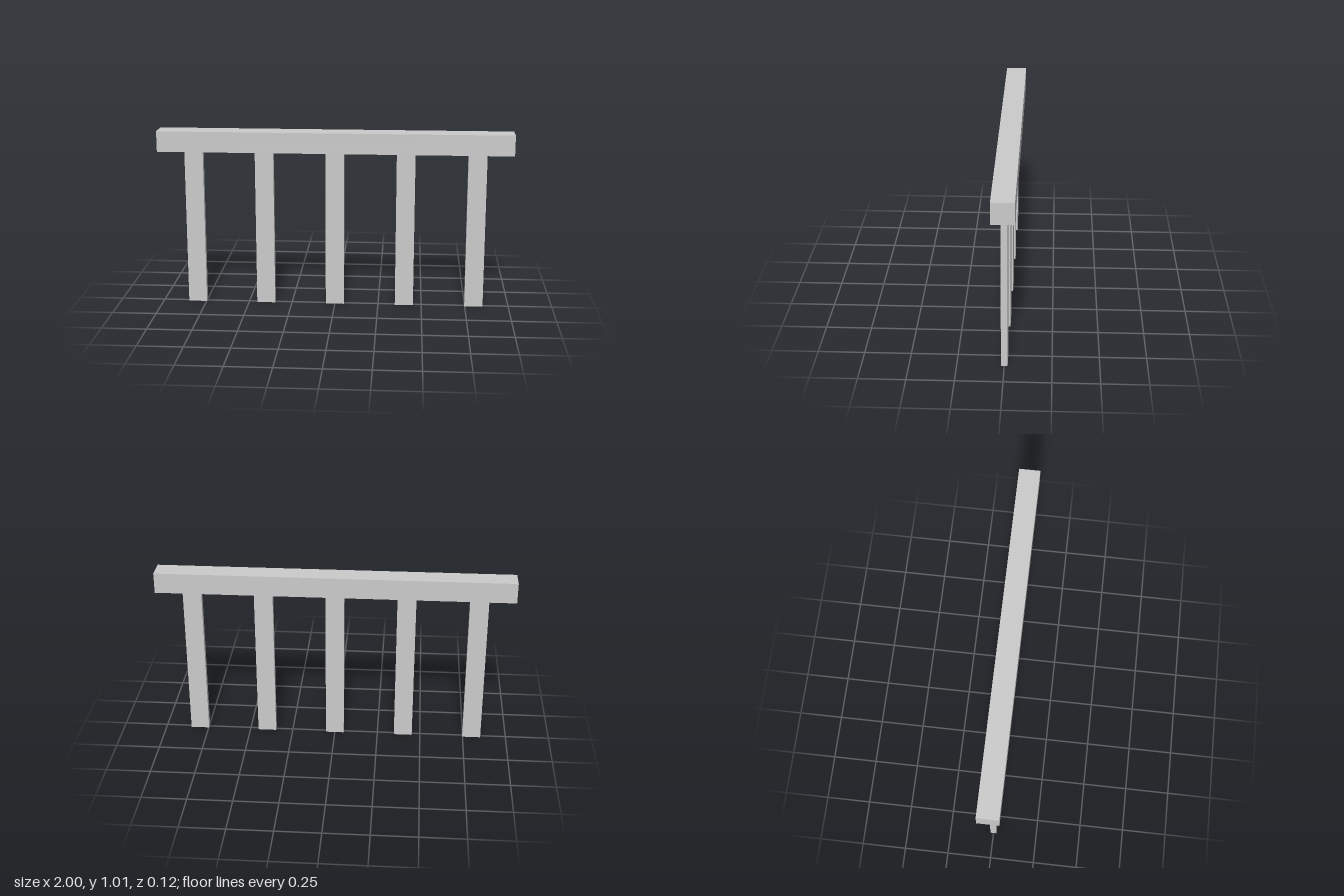
import * as THREE from 'three';

const RAIL_BOTTOM = 0.895;
const RAIL_TOP = 1.012;

export function createModel() {
  const model = new THREE.Group();
  model.name = 'railing';
  const material = new THREE.MeshStandardMaterial({ color: 0xcccccc, flatShading: true });

  // A box standing on the given height
  function addBox(name, width, height, depth, x, bottom) {
    const mesh = new THREE.Mesh(new THREE.BoxGeometry(width, height, depth), material);
    mesh.name = name;
    mesh.position.set(x, bottom + height / 2, 0);
    model.add(mesh);
  }

  // Top rail
  addBox('topRail', 2, RAIL_TOP - RAIL_BOTTOM, 0.12, 0, RAIL_BOTTOM);

  // Five flat, evenly spaced balusters
  for (let i = 0; i < 5; i++) {
    addBox(`baluster${i + 1}`, 0.105, RAIL_BOTTOM, 0.035, (i - 2) * 0.4, 0);
  }

  return model;
}
